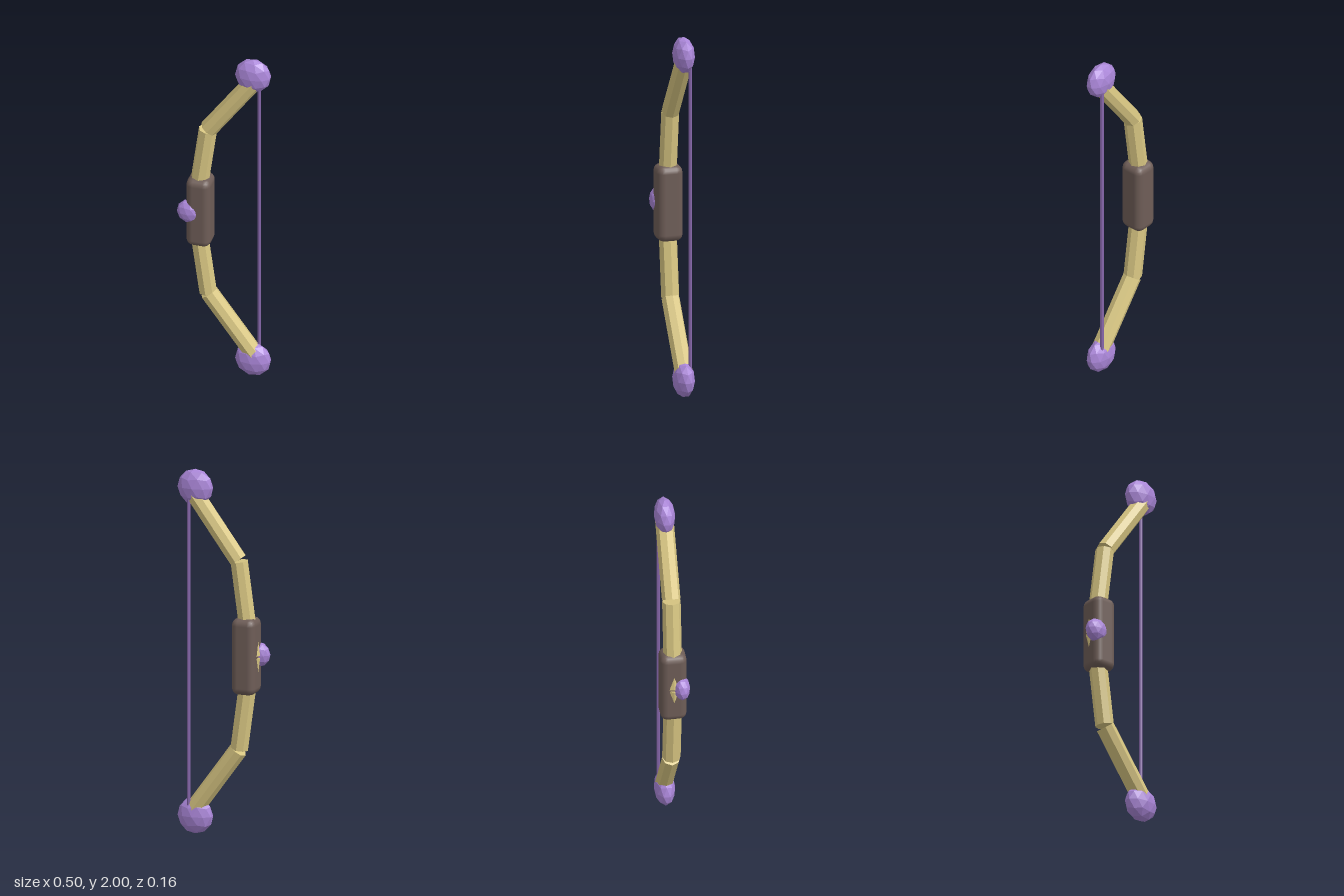
import * as THREE from 'three';
import { RoundedBoxGeometry } from 'three/addons/geometries/RoundedBoxGeometry.js';

const WOOD = 0xd9c783, LEATHER = 0x6e5d57, GEM = 0xaa86d8, CORD = 0x8767ab;
const Z = -0.01; // depth of the bow's centre plane

function addMesh(parent, name, geometry, color, flatShading = true) {
  const mesh = new THREE.Mesh(geometry, new THREE.MeshStandardMaterial({ color, flatShading }));
  mesh.name = name;
  parent.add(mesh);
  return mesh;
}

// Straight rod between two points
function rod(parent, name, a, b, radius, sides, color) {
  const start = new THREE.Vector3(...a), end = new THREE.Vector3(...b);
  const dir = end.clone().sub(start);
  const mesh = addMesh(parent, name, new THREE.CylinderGeometry(radius, radius, dir.length(), sides), color);
  mesh.position.copy(start).add(end).multiplyScalar(0.5);
  mesh.quaternion.setFromUnitVectors(new THREE.Vector3(0, 1, 0), dir.normalize());
  return mesh;
}

// Faceted ball with its poles on the y axis, squashed in depth
function gem(parent, name, position, rx, ry, rz) {
  const geometry = new THREE.IcosahedronGeometry(1, 1);
  geometry.rotateX(-Math.atan((1 + Math.sqrt(5)) / 2));
  geometry.rotateY(Math.PI / 2);
  geometry.scale(rx, ry, rz);
  const mesh = addMesh(parent, name, geometry, GEM);
  mesh.position.set(...position);
  return mesh;
}

export function createModel() {
  const bow = new THREE.Group();
  bow.name = 'bow';

  // Two mirrored limbs, each of two straight pieces and a tip ball
  for (const [side, s] of [['upper', 1], ['lower', -1]]) {
    const limb = new THREE.Group();
    limb.name = side + 'Limb';
    bow.add(limb);
    const at = (x, h) => [x, 1 + s * h, Z];
    rod(limb, side + 'InnerLimb', at(-0.165, 0), at(-0.095, 0.515), 0.05, 8, WOOD);
    rod(limb, side + 'OuterLimb', at(-0.09, 0.52), at(0.19, 0.905), 0.05, 8, WOOD);
    gem(limb, side + 'TipBall', at(0.155, 0.9), 0.1, 0.1, 0.057);
  }

  // Grip wrapped around the middle
  const grip = addMesh(bow, 'grip', new RoundedBoxGeometry(0.136, 0.42, 0.143, 2, 0.04), LEATHER, false);
  grip.position.set(-0.136, 1.002, Z);

  // Ornament on the outer side of the grip
  gem(bow, 'gripGem', [-0.188, 1.003, 0.033], 0.067, 0.068, 0.044);

  // Bowstring between the tips
  rod(bow, 'bowstring', [0.181, 0.1, -0.04], [0.181, 1.9, -0.04], 0.01, 8, CORD);

  return bow;
}
